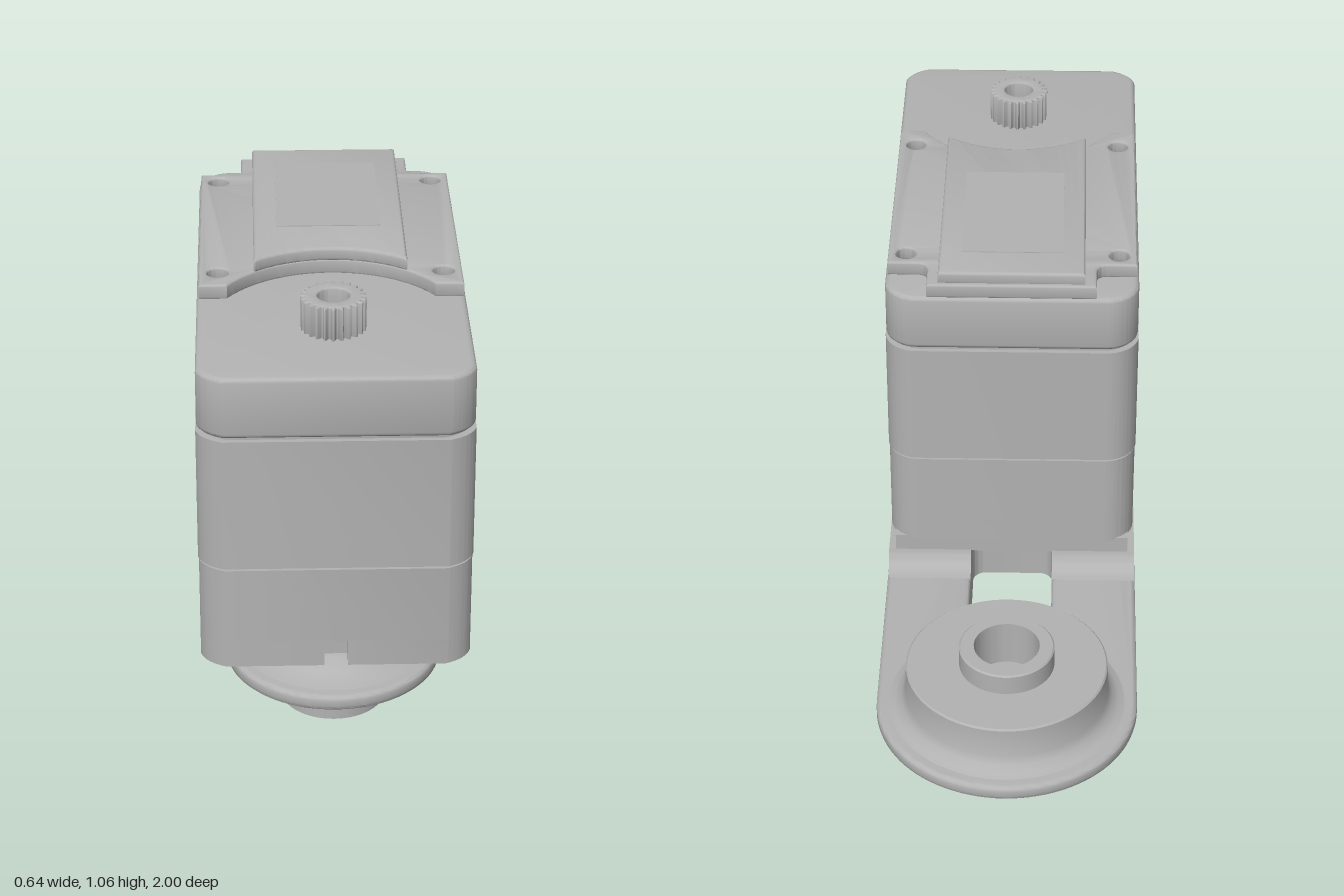
import * as THREE from 'three';
import { toCreasedNormals } from 'three/addons/utils/BufferGeometryUtils.js';

export function createModel() {
  const model = new THREE.Group();
  model.name = 'servoWithArm';
  const grey = new THREE.MeshStandardMaterial({ color: 0xb2b2b2 });
  grey.name = 'matteGrey';

  const SHAFT_Z = 0.74, HUB_Z = -0.68;

  function add(name, geometry, parent = model) {
    const mesh = new THREE.Mesh(toCreasedNormals(geometry, 0.6), grey);
    mesh.name = name;
    parent.add(mesh);
    return mesh;
  }

  // Horizontal slab from a plan shape (shape x, y = model x, z)
  function slab(shape, y0, y1, bevel = 0) {
    const g = new THREE.ExtrudeGeometry(shape, {
      depth: y1 - y0 - 2 * bevel, curveSegments: 24, bevelEnabled: bevel > 0,
      bevelThickness: bevel, bevelSize: bevel, bevelOffset: -bevel, bevelSegments: 3,
    });
    return g.rotateX(Math.PI / 2).translate(0, y1 - bevel, 0);
  }

  function lathe(profile, z) {
    const pts = profile.map(([r, y]) => new THREE.Vector2(r, y));
    return new THREE.LatheGeometry(pts, 64).translate(0, 0, z);
  }

  const circle = (x, z, r) => new THREE.Path().absarc(x, z, r, 0, Math.PI * 2);

  function roundedRect(x0, z0, x1, z1, r) {
    const p = new THREE.Path();
    p.absarc(x1 - r, z1 - r, r, 0, Math.PI / 2);
    p.absarc(x0 + r, z1 - r, r, Math.PI / 2, Math.PI);
    p.absarc(x0 + r, z0 + r, r, Math.PI, Math.PI * 1.5);
    p.absarc(x1 - r, z0 + r, r, Math.PI * 1.5, Math.PI * 2);
    p.closePath();
    return p;
  }

  // ---------- Motor case ----------
  const body = new THREE.Group();
  body.name = 'motorCase';
  model.add(body);

  // Plan of the case: chamfered front corners, rounded rear corners, optional front notch
  function casePlan(inset = 0, notch = false) {
    const w = 0.315 - inset, f = 1 - inset, b = -0.16 + inset, c = 0.06, r = 0.08;
    const s = new THREE.Shape();
    s.moveTo(w, f - c);
    s.quadraticCurveTo(w - 0.01, f - 0.02, w - c, f);
    if (notch) {
      s.lineTo(0.027, f); s.lineTo(0.027, f - 0.05);
      s.lineTo(-0.027, f - 0.05); s.lineTo(-0.027, f);
    }
    s.lineTo(-w + c, f);
    s.quadraticCurveTo(-w + 0.01, f - 0.02, -w, f - c);
    s.absarc(-w + r, b + r, r, Math.PI, Math.PI * 1.5);
    s.absarc(w - r, b + r, r, Math.PI * 1.5, Math.PI * 2);
    s.closePath();
    return s;
  }
  add('lowerCaseNotched', slab(casePlan(0.002, true), 0.235, 0.3), body);
  add('lowerCase', slab(casePlan(0.002), 0.3, 0.491), body);
  add('middleCase', slab(casePlan(), 0.497, 0.824), body);
  add('upperCase', slab(casePlan(0.002), 0.83, 0.98, 0.012), body);
  add('seamCore', slab(casePlan(0.012), 0.31, 0.9), body);

  // Plate with a concave front edge around the shaft, and optional rear corner notches
  function coverPlan(w, back, front, notchSize = 0) {
    const R = 0.285;
    const arcX = Math.min(w, Math.sqrt(R * R - (SHAFT_Z - front) ** 2));
    const a = Math.asin(arcX / R);
    const s = new THREE.Shape();
    s.moveTo(w, front);
    s.lineTo(w, back + notchSize);
    if (notchSize) {
      s.lineTo(w - notchSize * 0.7, back + notchSize);
      s.quadraticCurveTo(w - notchSize, back + notchSize, w - notchSize, back + notchSize * 0.7);
      s.lineTo(w - notchSize, back);
      s.lineTo(-w + notchSize, back);
      s.lineTo(-w + notchSize, back + notchSize * 0.7);
      s.quadraticCurveTo(-w + notchSize, back + notchSize, -w + notchSize * 0.7, back + notchSize);
    } else s.lineTo(-w, back);
    s.lineTo(-w, back + notchSize);
    s.lineTo(-w, front);
    s.absarc(0, SHAFT_Z, R, -Math.PI / 2 - a, -Math.PI / 2 + a, false);
    s.closePath();
    return s;
  }
  const cover = coverPlan(0.308, -0.155, 0.59, 0.1);
  for (const x of [-0.264, 0.264])
    for (const z of [-0.01, 0.52]) cover.holes.push(circle(x, z, 0.025));
  add('topCover', slab(cover, 0.978, 1.016, 0.006), body);
  add('raisedCover', slab(coverPlan(0.18, -0.145, 0.515), 1.01, 1.045, 0.008), body);
  add('coverPanel', new THREE.BoxGeometry(0.25, 0.004, 0.38).translate(0, 1.045, 0.14), body);
  add('caseFoot', slab(coverPlan(0.3, -0.15, 0.585), 0.193, 0.24), body);

  // Toothed output shaft
  const gear = new THREE.Shape();
  const TEETH = 24;
  for (let i = 0; i < TEETH * 4; i++) {
    const a = (i / (TEETH * 4)) * Math.PI * 2, r = i % 4 < 2 ? 0.076 : 0.066;
    gear[i ? 'lineTo' : 'moveTo'](Math.cos(a) * r, SHAFT_Z + Math.sin(a) * r);
  }
  gear.closePath();
  gear.holes.push(circle(0, SHAFT_Z, 0.037));
  add('splineShaft', slab(gear, 0.975, 1.06, 0.004), body);

  // ---------- Arm ----------
  const arm = new THREE.Group();
  arm.name = 'arm';
  model.add(arm);

  const slot = () => roundedRect(-0.105, -0.38, 0.105, 0, 0.035);

  // Main plate: round rear end, tapered round front end
  const plate = new THREE.Shape();
  const W = 0.32, lean = 0.32;
  plate.moveTo(W, HUB_Z);
  plate.lineTo(W, 0.57);
  plate.absarc(0, 0.745, 0.255, lean, Math.PI - lean);
  plate.lineTo(-W, 0.57);
  plate.absarc(0, HUB_Z, W, Math.PI, Math.PI * 2);
  plate.closePath();
  plate.holes.push(slot(), circle(0, HUB_Z, 0.045));
  for (const x of [-0.264, 0.264]) plate.holes.push(circle(x, 0.52, 0.028));
  add('armPlate', slab(plate, 0.108, 0.147, 0.012), arm);

  // Lower pad with a flared skirt
  const PAD_FRONT = 0.19;
  const stadium = (r) => {
    const s = new THREE.Shape();
    s.absarc(0, PAD_FRONT, r, 0, Math.PI);
    s.absarc(0, HUB_Z, r, Math.PI, Math.PI * 2);
    s.closePath();
    return s;
  };
  const pad = stadium(0.185);
  pad.holes.push(slot(), circle(0, HUB_Z, 0.045));
  add('lowerPad', slab(pad, 0, 0.12), arm);

  const skirt = [[0.185, 0], [0.197, 0.005], [0.203, 0.018], [0.206, 0.05],
    [0.216, 0.075], [0.235, 0.095], [0.26, 0.107], [0.295, 0.112]];
  const N = 64, pos = [], idx = [];
  for (const [r, y] of skirt)
    for (let i = 0; i < N; i++) {
      const front = i < N / 2;
      const a = Math.PI * (front ? i / (N / 2 - 1) : 1 + (i - N / 2) / (N / 2 - 1));
      pos.push(r * Math.cos(a), y, (front ? PAD_FRONT : HUB_Z) + r * Math.sin(a));
    }
  for (let k = 0; k < skirt.length - 1; k++)
    for (let i = 0; i < N; i++) {
      const a = k * N + i, b = k * N + (i + 1) % N;
      idx.push(a, a + N, b, b, a + N, b + N);
    }
  const skirtGeo = new THREE.BufferGeometry();
  skirtGeo.setAttribute('position', new THREE.Float32BufferAttribute(pos, 3));
  skirtGeo.setIndex(idx);
  add('padSkirt', skirtGeo, arm);

  // Raised seat under the case: side rails with curved ramps, and a centre block
  function seat(name, x0, x1, z0, z1) {
    const s = new THREE.Shape(); // drawn in (-z, y), extruded along x
    s.moveTo(-z1 - 0.05, 0.13);
    s.lineTo(-z1 - 0.05, 0.147);
    s.quadraticCurveTo(-z1 - 0.005, 0.15, -z1, 0.195);
    s.lineTo(-z0, 0.195);
    s.quadraticCurveTo(-z0 + 0.01, 0.15, -z0 + 0.06, 0.147);
    s.lineTo(-z0 + 0.06, 0.13);
    s.closePath();
    const g = new THREE.ExtrudeGeometry(s, { depth: x1 - x0, bevelEnabled: false, curveSegments: 10 });
    add(name, g.rotateY(Math.PI / 2).translate(x0, 0, 0), arm);
  }
  seat('leftRail', 0.105, 0.318, -0.15, 0.56);
  seat('rightRail', -0.318, -0.105, -0.15, 0.56);
  seat('centreSeat', -0.106, 0.106, 0.06, 0.5);

  // Rear hub disc with a counterbored boss
  add('hub', lathe([[0.3, 0.144], [0.275, 0.151], [0.258, 0.165], [0.248, 0.185], [0.246, 0.261],
    [0.242, 0.265], [0.116, 0.265], [0.116, 0.316], [0.112, 0.32], [0.08, 0.32], [0.08, 0.2],
    [0.045, 0.2], [0.045, 0]], HUB_Z), arm);

  // Front pivot: flared collar above and pin below
  add('pivotCollar', lathe([[0.245, 0.144], [0.205, 0.15], [0.175, 0.163], [0.15, 0.185],
    [0.135, 0.21], [0.128, 0.237], [0, 0.237]], 0.745), arm);
  add('pivotPin', new THREE.CylinderGeometry(0.125, 0.125, 0.13, 64).translate(0, 0.065, 0.745), arm);

  return model;
}
